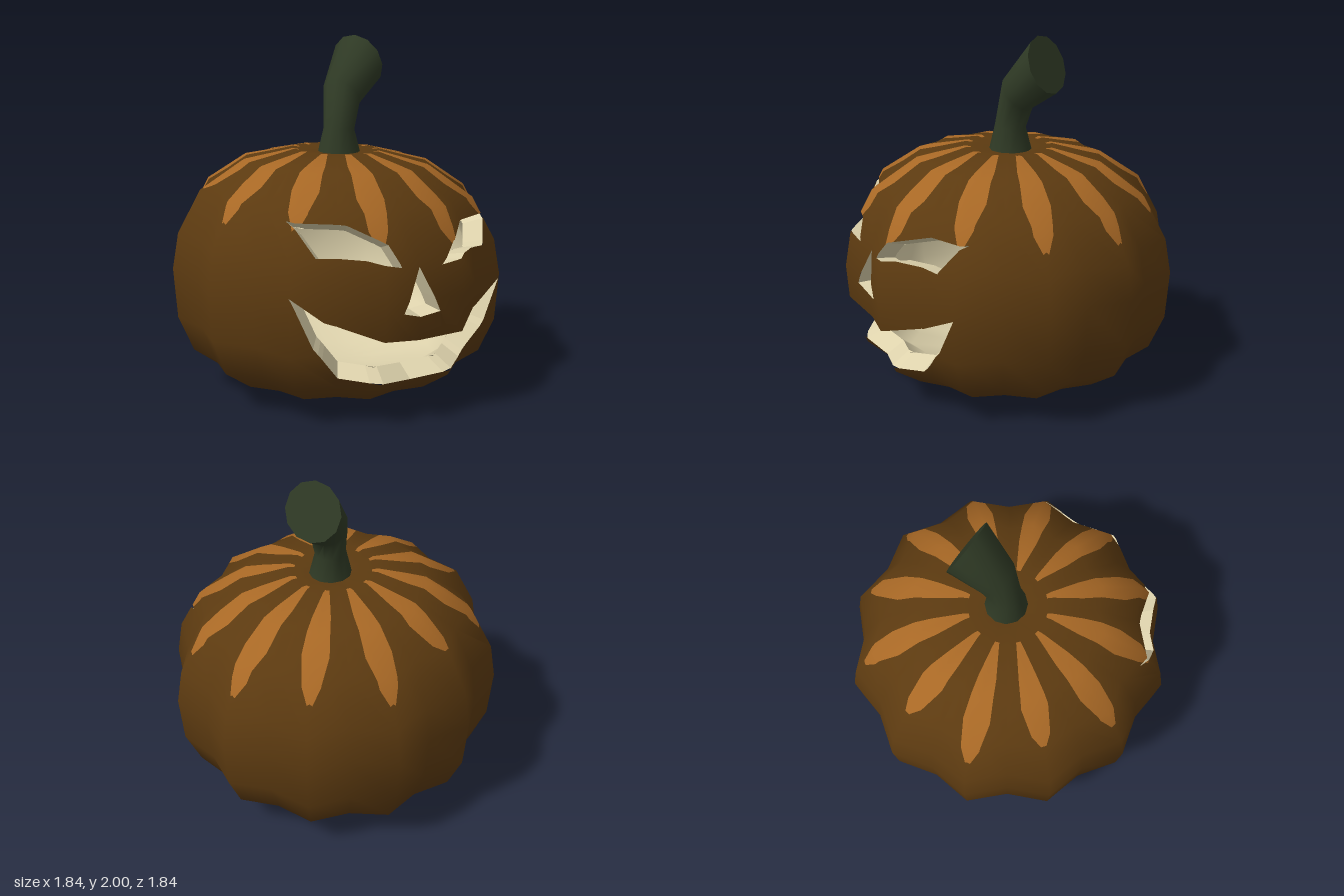
import * as THREE from 'three';
import { toCreasedNormals } from 'three/addons/utils/BufferGeometryUtils.js';

const V = (x, y, z) => new THREE.Vector3(x, y, z);
const mat = (name, color, side = THREE.FrontSide) => {
  const m = new THREE.MeshStandardMaterial({ color, side });
  m.name = name;
  return m;
};
const CENTRE = V(0, 0.7, 0), INNER = 0.87;

// Ribbed skin: profile of radius and height, swept with twelve lobes
const PROFILE = [[0, 0], [0.26, 0.02], [0.68, 0.1], [0.85, 0.22], [0.935, 0.42], [0.955, 0.7],
  [0.92, 0.9], [0.79, 1.14], [0.55, 1.3], [0.26, 1.365], [0.1, 1.345], [0, 1.34]];
const SEGMENTS = 24;

function skinGeometry() {
  const pos = [], index = [];
  for (const [r, y] of PROFILE) {
    for (let j = 0; j < SEGMENTS; j++) {
      const a = (j / SEGMENTS) * Math.PI * 2;
      const rr = r * (j % 2 ? 1 : 0.92);
      const x = rr * Math.sin(a);
      pos.push(x, y - 0.035 * x * (y / 1.3), rr * Math.cos(a));
    }
  }
  const rows = PROFILE.length - 1;
  for (let i = 0; i < rows; i++) {
    for (let j = 0; j < SEGMENTS; j++) {
      const a = i * SEGMENTS + j, b = i * SEGMENTS + (j + 1) % SEGMENTS;
      const c = b + SEGMENTS, d = a + SEGMENTS;
      if (i > 0) index.push(a, b, d);
      if (i < rows - 1) index.push(b, c, d);
    }
  }
  const g = new THREE.BufferGeometry();
  g.setAttribute('position', new THREE.Float32BufferAttribute(pos, 3));
  g.setIndex(index);
  return toCreasedNormals(g, 1.0);
}

// Split a polygon by a convex outline seen along one axis; vertices are [position, normal] as six numbers
function split(poly, outline, axis) {
  let area = 0;
  outline.forEach(([x, y], i) => {
    const [u, v] = outline[(i + 1) % outline.length];
    area += x * v - u * y;
  });
  const sign = Math.sign(area), outside = [];
  let inside = poly;
  for (let i = 0; i < outline.length && inside.length; i++) {
    const [x, y] = outline[i], [u, v] = outline[(i + 1) % outline.length];
    if (Math.hypot(u - x, v - y) < 1e-6) continue;
    const dist = (p) => sign * ((u - x) * (p[axis] - y) - (v - y) * (p[0] - x));
    const keep = [], drop = [];
    inside.forEach((p, k) => {
      const q = inside[(k + 1) % inside.length], dp = dist(p), dq = dist(q);
      (dp >= 0 ? keep : drop).push(p);
      if ((dp >= 0) !== (dq >= 0)) {
        const m = p.map((c, n) => c + (q[n] - c) * dp / (dp - dq));
        keep.push(m);
        drop.push(m);
      }
    });
    if (drop.length > 2) outside.push(drop);
    inside = keep.length > 2 ? keep : [];
  }
  return { inside, outside };
}

// Split many polygons by many outlines
function splitAll(polys, outlines, axis, applies) {
  const taken = [];
  for (const outline of outlines) {
    polys = polys.flatMap((poly) => {
      if (!applies(poly)) return [poly];
      const { inside, outside } = split(poly, outline, axis);
      if (!inside.length) return [poly];
      taken.push(inside);
      return outside;
    });
  }
  return { polys, taken };
}

function polygonGeometry(polys) {
  const pos = [], nor = [];
  for (const poly of polys) {
    for (let k = 1; k < poly.length - 1; k++) {
      for (const p of [poly[0], poly[k], poly[k + 1]]) {
        pos.push(p[0], p[1], p[2]);
        nor.push(p[3], p[4], p[5]);
      }
    }
  }
  const g = new THREE.BufferGeometry();
  g.setAttribute('position', new THREE.Float32BufferAttribute(pos, 3));
  g.setAttribute('normal', new THREE.Float32BufferAttribute(nor, 3));
  return g;
}

// Face openings, each a strip between an upper and a lower edge
const OPENINGS = {
  mouth: [[[-0.67, 0.75], [-0.5, 0.61], [-0.25, 0.515], [0, 0.47], [0.25, 0.49], [0.45, 0.55], [0.67, 0.66]],
    [[-0.67, 0.75], [-0.55, 0.47], [-0.4, 0.28], [0, 0.225], [0.37, 0.26], [0.55, 0.44], [0.67, 0.66]]],
  rightEye: [[[-0.6, 1.11], [-0.34, 1.09], [-0.18, 1.0], [-0.12, 0.88]],
    [[-0.6, 1.11], [-0.52, 0.94], [-0.3, 0.93], [-0.12, 0.88]]],
  leftEye: [[[0.13, 0.865], [0.22, 0.975], [0.4, 1.03], [0.61, 1.03]],
    [[0.13, 0.865], [0.3, 0.895], [0.53, 0.875], [0.61, 1.03]]],
  nose: [[[-0.12, 0.64], [0, 0.865], [0.11, 0.62]], [[-0.12, 0.64], [0, 0.6], [0.11, 0.62]]],
};

// Cut flesh running from the skin to the inner shell round an opening
function rimGeometry([top, bottom], skin) {
  const outline = [...top, ...bottom.slice(1, -1).reverse()];
  const ray = new THREE.Raycaster(), pos = [], steps = 6;
  const onSkin = (x, y) => {
    ray.set(V(x, y, 3), V(0, 0, -1));
    const hit = ray.intersectObject(skin)[0];
    return hit ? hit.point : V(x, y, 0.5);
  };
  outline.forEach(([x, y], i) => {
    const [u, v] = outline[(i + 1) % outline.length];
    const pts = Array.from({ length: steps + 1 }, (_, s) => onSkin(x + (u - x) * s / steps, y + (v - y) * s / steps));
    const back = pts.map((p) => p.clone().sub(CENTRE).multiplyScalar(INNER).add(CENTRE));
    for (let s = 0; s < steps; s++) {
      // clockwise outline, so this order faces into the opening
      for (const p of [pts[s], pts[s + 1], back[s + 1], pts[s], back[s + 1], back[s]]) pos.push(p.x, p.y, p.z);
    }
  });
  const g = new THREE.BufferGeometry();
  g.setAttribute('position', new THREE.Float32BufferAttribute(pos, 3));
  g.computeVertexNormals();
  return g;
}

// Bent stem from tilted rings: centre, radius, facing
function stemGeometry() {
  const rings = [[V(0.02, 1.32, 0), 0.127, V(0, 1, 0)], [V(0.02, 1.48, 0), 0.088, V(0.1, 1, -0.05)],
    [V(0.055, 1.67, -0.03), 0.115, V(0.7, 0.65, -0.35)], [V(0.22, 1.845, -0.12), 0.165, V(0.87, 0.35, -0.42)]];
  const sides = 12, pos = [], index = [];
  for (const [c, r, n] of rings) {
    const q = new THREE.Quaternion().setFromUnitVectors(V(0, 1, 0), n.normalize());
    for (let j = 0; j < sides; j++) {
      const a = (j / sides) * Math.PI * 2;
      pos.push(...V(r * Math.sin(a), 0, r * Math.cos(a)).applyQuaternion(q).add(c).toArray());
    }
  }
  pos.push(...rings[3][0].toArray());
  for (let j = 0; j < sides; j++) {
    const k = (j + 1) % sides;
    for (let i = 0; i < 3; i++) {
      const a = i * sides + j, b = i * sides + k;
      index.push(a, b, b + sides, a, b + sides, a + sides);
    }
    index.push(3 * sides + j, 3 * sides + k, 4 * sides);
  }
  const g = new THREE.BufferGeometry();
  g.setAttribute('position', new THREE.Float32BufferAttribute(pos, 3));
  g.setIndex(index);
  return toCreasedNormals(g, 0.9);
}

export function createModel() {
  const rind = mat('rind brown', 0x5c3a10), streak = mat('streak orange', 0xa86825);
  const flesh = mat('flesh cream', 0xddd2ac, THREE.DoubleSide), green = mat('stem green', 0x2f3a25);
  const group = new THREE.Group();
  group.name = 'carvedPumpkin';
  const add = (name, geometry, material) => {
    const mesh = new THREE.Mesh(geometry, material);
    mesh.name = name;
    group.add(mesh);
    return mesh;
  };

  const base = skinGeometry(), p = base.attributes.position.array, n = base.attributes.normal.array;
  const triangles = [];
  for (let i = 0; i < p.length; i += 9) {
    triangles.push([0, 3, 6].map((k) => [...p.slice(i + k, i + k + 3), ...n.slice(i + k, i + k + 3)]));
  }

  // Carve the openings
  const holes = Object.values(OPENINGS).flatMap(([t, b]) =>
    t.slice(1).map((_, i) => [t[i], t[i + 1], b[i + 1], b[i]]));
  const mean = (poly, k) => poly.reduce((s, v) => s + v[k], 0) / poly.length;
  const carved = splitAll(triangles, holes, 1, (poly) => mean(poly, 2) > 0).polys;

  // Paint one tapered streak on each lobe, measured from above
  const reach = [0.88, 0.84, 0.85, 0.86, 0.83, 0.85, 0.78, 0.84, 0.77, 0.84, 0.83, 0.87];
  const streaks = reach.map((len, i) => {
    const a = (i + 0.5) * Math.PI / 6, s = Math.sin(a), c = Math.cos(a);
    const half = [[0.22, 0.012], [0.42, 0.05], [len - 0.2, 0.075], [len - 0.06, 0.052], [len, 0.015]];
    return [...half, ...half.map(([r, w]) => [r, -w]).reverse()].map(([r, w]) => [r * s + w * c, r * c - w * s]);
  });
  const painted = splitAll(carved, streaks, 2, (poly) => mean(poly, 1) > 0.75);
  add('skin', polygonGeometry(painted.polys), rind);
  add('topStreaks', polygonGeometry(painted.taken), streak);

  // Hollow inside and cut edges
  const inner = add('innerShell', polygonGeometry(carved), flesh);
  inner.scale.setScalar(INNER);
  inner.position.copy(CENTRE).multiplyScalar(1 - INNER);
  const whole = new THREE.Mesh(base, rind);
  for (const [name, strip] of Object.entries(OPENINGS)) add(name + 'Rim', rimGeometry(strip, whole), flesh);

  // Dark strip on the inside of the back wall
  add('backStrip', new THREE.BoxGeometry(0.12, 0.24, 0.009), rind).position.set(0, 0.4, -0.7);

  add('stem', stemGeometry(), green);
  return group;
}
